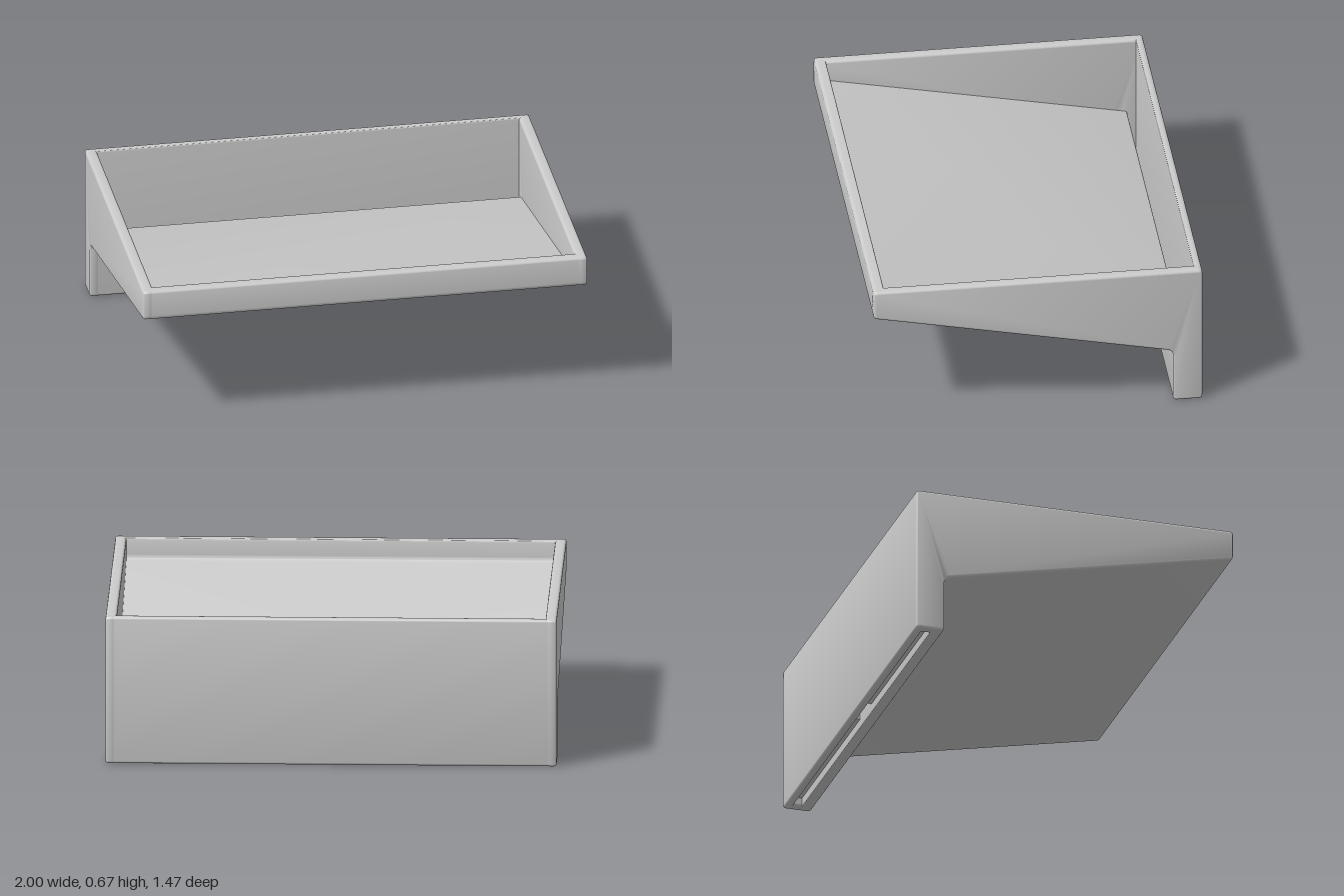
import * as THREE from 'three';
import { toCreasedNormals } from 'three/addons/utils/BufferGeometryUtils.js';

const material = new THREE.MeshStandardMaterial({ color: 0xcccccc });

// Closed outline from [z, y, cornerRadius] points
function roundedShape(points) {
  const shape = new THREE.Shape();
  const n = points.length;
  points.forEach(([z, y, r], i) => {
    const p = new THREE.Vector2(z, y);
    const toward = ([a, b]) => new THREE.Vector2(a, b).sub(p).setLength(r).add(p);
    const a = toward(points[(i + n - 1) % n]);
    const b = toward(points[(i + 1) % n]);
    if (i === 0) shape.moveTo(a.x, a.y);
    else shape.lineTo(a.x, a.y);
    shape.quadraticCurveTo(p.x, p.y, b.x, b.y);
  });
  shape.closePath();
  return shape;
}

// Extrudes a side outline across x, centred on x, with optional edge rounding
function profileMesh(name, points, width, x = 0, bevel = 0) {
  let geo = new THREE.ExtrudeGeometry(roundedShape(points), {
    depth: width - 2 * bevel,
    curveSegments: 6,
    bevelEnabled: bevel > 0,
    bevelThickness: bevel,
    bevelSize: bevel,
    bevelOffset: -bevel,
    bevelSegments: 4,
  });
  geo.translate(0, 0, bevel - width / 2);
  geo.rotateY(-Math.PI / 2);
  geo = toCreasedNormals(geo, 0.6);
  const mesh = new THREE.Mesh(geo, material);
  mesh.name = name;
  mesh.position.x = x;
  return mesh;
}

export function createModel() {
  const model = new THREE.Group();
  model.name = 'wallTray';
  const r = 0.016, wall = 0.05, inner = 1.96;

  // Tapered side walls
  const side = [
    [0.735, 0.67, r], [-0.735, 0.67, r], [-0.735, 0, r],
    [-0.605, 0, r], [-0.605, 0.257, 0.028], [0.735, 0.534, r],
  ];
  for (const s of [-1, 1]) {
    model.add(profileMesh(s > 0 ? 'leftWall' : 'rightWall', side, wall, s * (1 - wall / 2), 0.012));
  }

  // Front wall, sloping floor and the hanging lip under it
  model.add(profileMesh('floorAndFrontWall', [
    [0.735, 0.67, r], [0.685, 0.67, 0.008], [0.685, 0.575, 0.02],
    [-0.66, 0.3, 0.008], [-0.66, 0, 0.006], [-0.605, 0, r],
    [-0.605, 0.257, 0.028], [0.735, 0.534, r],
  ], inner));

  // Back wall
  model.add(profileMesh('backWall', [
    [-0.7, 0.67, 0.008], [-0.735, 0.67, r], [-0.735, 0, r], [-0.7, 0, 0.006],
  ], inner));

  // Webs closing the rear slot on both sides of the central drain opening
  for (const s of [-1, 1]) {
    const web = new THREE.Mesh(new THREE.BoxGeometry(0.875, 0.06, 0.05), material);
    web.name = s > 0 ? 'leftSlotWeb' : 'rightSlotWeb';
    web.position.set(s * (0.085 + 0.4375), 0.07, -0.68);
    model.add(web);
  }
  return model;
}
